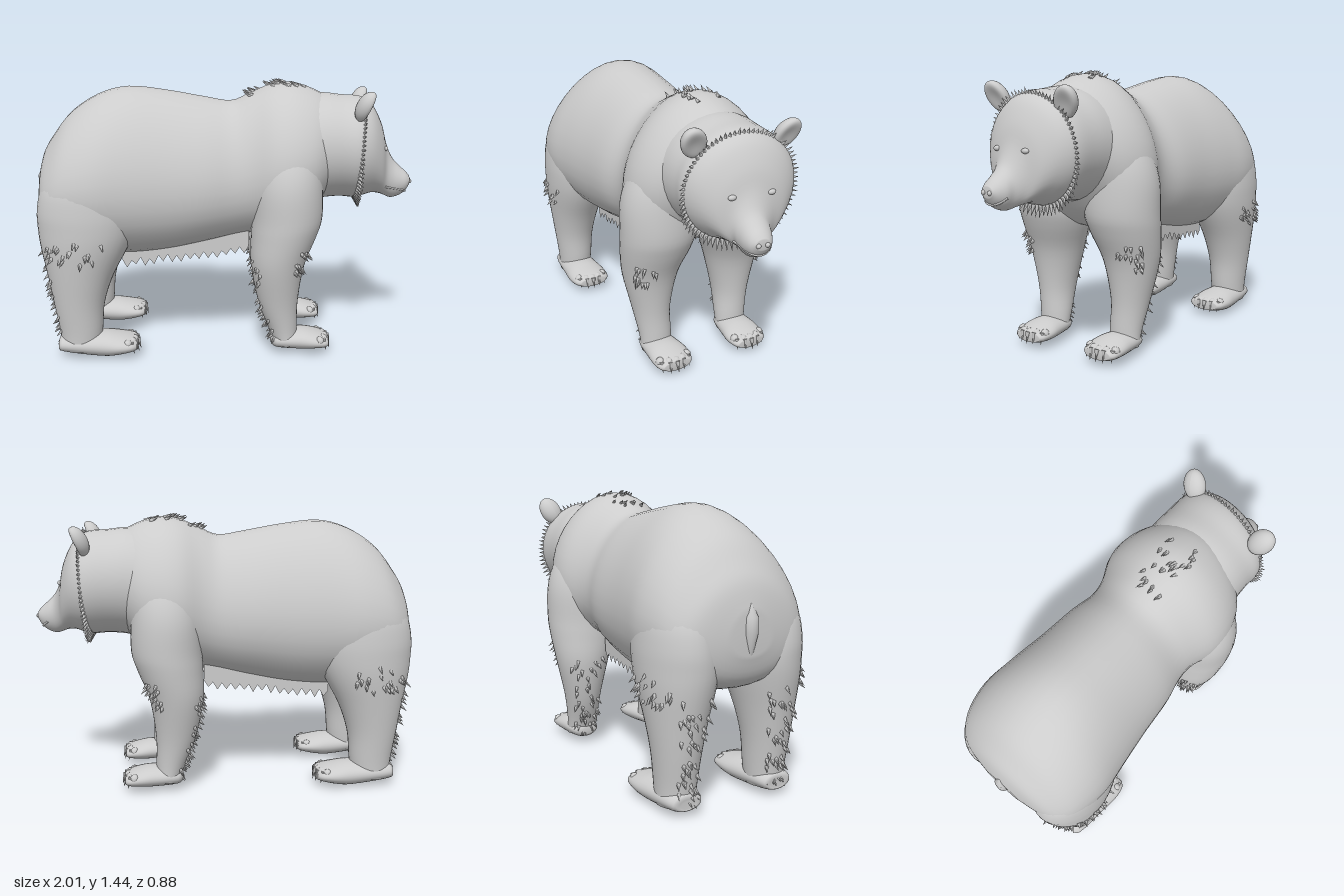
import * as THREE from 'three';
import { mergeGeometries } from 'three/addons/utils/BufferGeometryUtils.js';

const AROUND = 36, STEPS = 4;
const V = (x, y, z) => new THREE.Vector3(x, y, z);

// Rows are [position, uMin, uMax, vMin, vMax]; smooth interpolation at row number k.
function rowAt(rows, k) {
  const i = Math.min(Math.floor(k), rows.length - 2), f = k - i;
  const r = (n) => rows[THREE.MathUtils.clamp(n, 0, rows.length - 1)];
  return r(i).map((b, n) => {
    const c = r(i + 1)[n], m0 = (c - r(i - 1)[n]) / 2, m1 = (r(i + 2)[n] - b) / 2;
    const f2 = f * f, f3 = f2 * f;
    return (2 * f3 - 3 * f2 + 1) * b + (f3 - 2 * f2 + f) * m0 + (3 * f2 - 2 * f3) * c + (f3 - f2) * m1;
  });
}

// A point on a lofted skin: angle 0 faces +u, a quarter turn faces +v.
function skin({ rows, upright, egg = 0, warp }, k, a) {
  const [t, u0, u1, v0, v1] = rowAt(rows, k);
  const u = (u0 + u1) / 2 + (u1 - u0) / 2 * Math.cos(a);
  const v = (v0 + v1) / 2 + (v1 - v0) / 2 * Math.sin(a) * (1 - egg * Math.cos(a));
  const p = upright ? V(u, t, v) : V(t, u, v);
  return warp ? warp(p) : p;
}

function loft(form) {
  const n = (form.rows.length - 1) * STEPS, pos = [], index = [];
  for (let i = 0; i <= n; i++)
    for (let j = 0; j < AROUND; j++) pos.push(...skin(form, i / STEPS, j / AROUND * Math.PI * 2).toArray());
  for (const i of [0, n]) {
    const mid = skin(form, i / STEPS, 0).add(skin(form, i / STEPS, Math.PI)).multiplyScalar(0.5);
    pos.push(...mid.toArray());
  }
  const first = (n + 1) * AROUND;
  for (let j = 0; j < AROUND; j++) {
    const q = (j + 1) % AROUND;
    for (let i = 0; i < n; i++) {
      const a = i * AROUND + j, b = i * AROUND + q;
      index.push(a, b, a + AROUND, b, b + AROUND, a + AROUND);
    }
    index.push(first, q, j, first + 1, n * AROUND + j, n * AROUND + q);
  }
  const g = new THREE.BufferGeometry();
  g.setAttribute('position', new THREE.Float32BufferAttribute(pos, 3));
  g.setIndex(index);
  g.computeVertexNormals();
  return g;
}

// A pointed lock of fur or claw from p along dir
function spike(p, dir, length, radius, sides = 4) {
  const g = new THREE.ConeGeometry(radius, length, sides).translate(0, length * 0.35, 0);
  g.applyQuaternion(new THREE.Quaternion().setFromUnitVectors(V(0, 1, 0), dir.clone().normalize()));
  return g.translate(p.x, p.y, p.z);
}

// The head looks slightly towards +z
function turn(p) {
  p.x -= 0.11 * p.z * THREE.MathUtils.smoothstep(p.x, 0.58, 0.75);
  return p;
}

const torso = { egg: 0.18, rows: [
  [-0.975, 0.76, 0.96, -0.1, 0.1], [-0.945, 0.66, 1.08, -0.26, 0.26], [-0.89, 0.6, 1.17, -0.34, 0.34],
  [-0.8, 0.57, 1.28, -0.385, 0.385], [-0.66, 0.53, 1.37, -0.405, 0.405], [-0.5, 0.515, 1.41, -0.385, 0.385],
  [-0.3, 0.53, 1.39, -0.358, 0.358], [-0.1, 0.57, 1.355, -0.34, 0.34], [0.04, 0.6, 1.335, -0.312, 0.312],
  [0.14, 0.62, 1.375, -0.32, 0.32], [0.25, 0.64, 1.42, -0.365, 0.365], [0.35, 0.66, 1.43, -0.37, 0.37],
  [0.45, 0.73, 1.405, -0.335, 0.335], [0.53, 0.83, 1.365, -0.27, 0.27], [0.6, 0.92, 1.3, -0.2, 0.2]] };

const headForm = { warp: turn, rows: [
  [0.4, 0.78, 1.36, -0.29, 0.29], [0.52, 0.81, 1.375, -0.288, 0.288], [0.62, 0.82, 1.365, -0.285, 0.285],
  [0.7, 0.815, 1.36, -0.282, 0.29], [0.75, 0.825, 1.345, -0.262, 0.278], [0.8, 0.84, 1.3, -0.22, 0.245],
  [0.845, 0.835, 1.21, -0.155, 0.19], [0.872, 0.825, 1.11, -0.085, 0.135], [0.905, 0.815, 1.035, -0.045, 0.12],
  [0.945, 0.825, 0.99, -0.03, 0.115], [0.98, 0.85, 0.96, -0.008, 0.106], [1.002, 0.885, 0.935, 0.015, 0.085]] };

const rearLeg = [
  [1.15, -0.8, -0.55, 0.1, 0.22], [1.05, -0.86, -0.5, 0.08, 0.335], [0.92, -0.935, -0.465, 0.07, 0.395],
  [0.8, -0.962, -0.45, 0.06, 0.414], [0.7, -0.962, -0.46, 0.05, 0.416], [0.6, -0.95, -0.5, 0.07, 0.41],
  [0.45, -0.92, -0.58, 0.11, 0.39], [0.3, -0.895, -0.63, 0.14, 0.37], [0.15, -0.87, -0.645, 0.155, 0.355],
  [0.05, -0.86, -0.66, 0.165, 0.35]];
const frontLeg = [
  [1.25, 0.27, 0.4, 0.08, 0.2], [1.13, 0.22, 0.46, 0.06, 0.315], [1.02, 0.175, 0.495, 0.04, 0.38],
  [0.9, 0.15, 0.51, 0.02, 0.412], [0.75, 0.145, 0.51, 0.02, 0.415], [0.65, 0.14, 0.48, 0.04, 0.41],
  [0.5, 0.14, 0.42, 0.095, 0.39], [0.3, 0.18, 0.39, 0.14, 0.345], [0.15, 0.235, 0.39, 0.145, 0.32],
  [0.06, 0.27, 0.39, 0.15, 0.315]];
const rearFoot = [
  [-0.87, 0.05, 0.09, 0.22, 0.29], [-0.85, 0.035, 0.13, 0.17, 0.345], [-0.65, 0.01, 0.14, 0.15, 0.365],
  [-0.56, 0.018, 0.13, 0.142, 0.372], [-0.49, 0.035, 0.115, 0.15, 0.362], [-0.46, 0.045, 0.1, 0.175, 0.335]];
const frontFoot = [
  [0.25, 0.06, 0.1, 0.2, 0.26], [0.28, 0.04, 0.13, 0.155, 0.31], [0.4, 0.03, 0.14, 0.13, 0.325],
  [0.47, 0.032, 0.13, 0.12, 0.33], [0.53, 0.038, 0.112, 0.13, 0.322], [0.555, 0.045, 0.1, 0.15, 0.3]];

// Mirrors rows to the other side
const sided = (rows, s) => rows.map(([t, a, b, c, d]) => s > 0 ? [t, a, b, c, d] : [t, a, b, -d, -c]);

export function createModel() {
  const bear = new THREE.Group();
  bear.name = 'bear';
  const fur = new THREE.MeshStandardMaterial({ color: 0xcccccc, side: THREE.DoubleSide });
  fur.name = 'grey fur';
  const add = (name, geometry) => {
    const mesh = new THREE.Mesh(geometry, fur);
    mesh.name = name;
    bear.add(mesh);
    return mesh;
  };
  let seed = 7;
  const rand = (a, b) => {
    seed = (seed * 16807) % 2147483647;
    return a + (b - a) * seed / 2147483647;
  };

  add('body', loft(torso));
  const head = add('head', loft(headForm));
  // The point on the face at a given height and z
  const onFace = (y, z) => new THREE.Raycaster(V(2, y, z), V(-1, 0, 0)).intersectObject(head)[0].point;
  const tail = new THREE.LatheGeometry([[0, -0.14], [0.018, -0.08], [0.036, 0], [0.034, 0.07], [0, 0.14]]
    .map((q) => new THREE.Vector2(...q)), 16);
  add('tail', tail.translate(-0.964, 0.865, 0));

  // Legs, feet, claws and leg fur
  for (const s of [1, -1]) {
    const side = s > 0 ? 'left' : 'right';
    const sets = [
      ['Rear', rearLeg, rearFoot, -0.458, 0.257, [[45, 5.2, 8.8, 2.6, 3.8], [20, 4.3, 5.4, 1.1, 2.5]]],
      ['Front', frontLeg, frontFoot, 0.556, 0.226, [[45, 5.8, 8.7, 2.3, 3.8], [14, 5.4, 6.2, 0.2, 1.0]]]];
    for (const [end, leg, foot, toeX, toeZ, patches] of sets) {
      const form = { rows: sided(leg, s), upright: true };
      add(side + end + 'Leg', loft(form));
      add(side + end + 'Foot', loft({ rows: sided(foot, s) }));
      const claws = [], tufts = [];
      for (let i = -2; i <= 2; i++) {
        const p = V(toeX - 0.007 * i * i, 0.09, s * (toeZ + i * 0.038));
        claws.push(spike(p, V(0.25, -0.95, 0), 0.065, 0.013, 6));
        claws.push(new THREE.SphereGeometry(0.024, 10, 8).translate(p.x - 0.022, p.y, p.z));
      }
      add(side + end + 'Claws', mergeGeometries(claws));
      for (const [count, k0, k1, a0, a1] of patches)
        for (let i = 0; i < count; i++) {
          const a = s * rand(a0, a1), p = skin(form, rand(k0, k1), a);
          tufts.push(spike(p, V(Math.cos(a), -0.9, Math.sin(a)), rand(0.03, 0.05), 0.012));
        }
      add(side + end + 'LegFur', mergeGeometries(tufts));
    }

    // Ragged fringe hanging from the belly
    const fringe = new THREE.Shape().moveTo(-0.54, 0.66);
    for (let i = 0; i <= 28; i++) {
      const x = -0.54 + i * 0.024;
      fringe.lineTo(x, 0.485 + 0.075 * i / 28 + (i % 2 ? -0.02 : 0.015) + rand(-0.008, 0.008));
    }
    fringe.lineTo(0.132, 0.72);
    add(side + 'BellyFringe', new THREE.ShapeGeometry(fringe).translate(0, 0, s * 0.17));

    // Gently cupped ear
    const ear = new THREE.SphereGeometry(1, 24, 18), p = ear.attributes.position;
    for (let i = 0; i < p.count; i++) {
      const r2 = p.getY(i) ** 2 + p.getZ(i) ** 2;
      if (p.getX(i) > 0) p.setX(i, p.getX(i) * (0.25 + 0.5 * r2));
    }
    ear.computeVertexNormals();
    ear.scale(0.05, 0.084, 0.062).rotateX(s * 0.4).rotateZ(-0.42);
    add(side + 'Ear', ear.translate(s > 0 ? 0.715 : 0.762, s > 0 ? 1.322 : 1.31, s > 0 ? 0.243 : -0.217));

    // Eye and nostril
    const eye = new THREE.SphereGeometry(1, 16, 12).scale(0.013, 0.013, 0.021);
    add(side + 'Eye', eye.translate(...onFace(1.092, 0.026 + s * 0.097).toArray()));
    const nostril = new THREE.SphereGeometry(0.012, 12, 8);
    add(side + 'Nostril', nostril.translate(...onFace(0.908, 0.052 + s * 0.022).toArray()));
  }

  // Mouth line
  const mouth = [[0.885, 0.115], [0.862, 0.09], [0.85, 0.045], [0.862, 0], [0.885, -0.028]].map((q) => onFace(...q));
  add('mouth', new THREE.TubeGeometry(new THREE.CatmullRomCurve3(mouth), 24, 0.006, 6));

  // Ruff of fur around the face, sloping forward to the brow and longer under the chin
  const ruff = [];
  for (let i = 0; i < 76; i++) {
    const a = i / 76 * Math.PI * 2, up = Math.cos(a), low = Math.max(0, -up);
    ruff.push(spike(skin(headForm, 3.55 + 0.4 * up, a), V(0.35, up, Math.sin(a)),
      0.024 + 0.04 * low + rand(0, 0.014), 0.01 + 0.006 * low));
  }
  add('faceRuff', mergeGeometries(ruff));

  // Tufts on the shoulder hump
  const hump = [];
  for (let i = 0; i < 28; i++)
    hump.push(spike(skin(torso, rand(8.9, 11.8), rand(-0.28, 0.28)), V(-0.8, 0.45, rand(-0.2, 0.2)), 0.045, 0.011));
  add('humpFur', mergeGeometries(hump));

  return bear;
}
